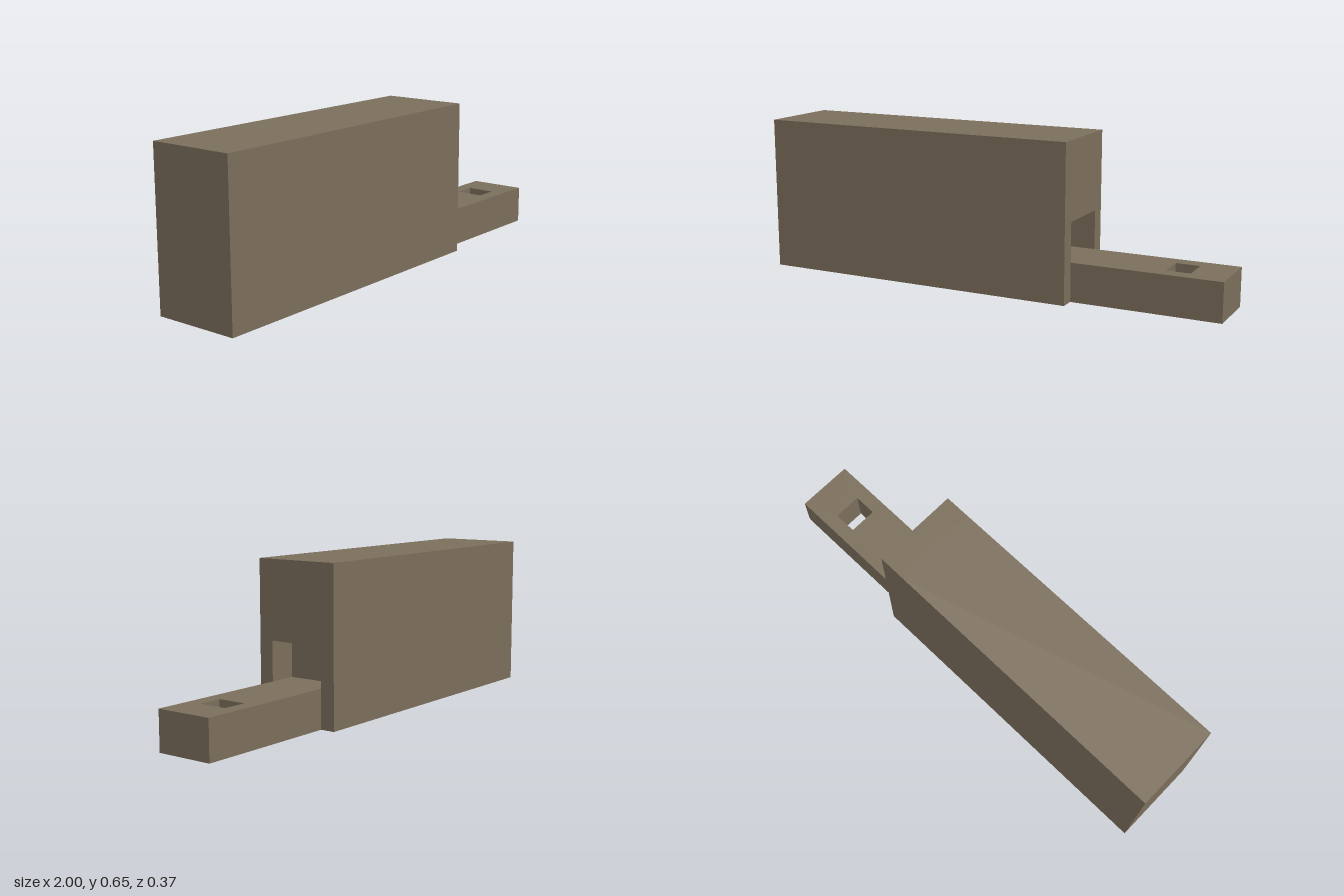
import * as THREE from 'three';

const BASE = 0.005;                 // underside height
const TOP = 0.654;
const HALF_DEPTH = 0.184;           // half width of the main block
const TONGUE_HALF = 0.122;          // half width of tongue and recess
const BACK_X = -1, RECESS_X = 0.26, MOUTH_X = 0.38, TIP_X = 0.997;

// Closed shape from a short list of corners
function polygon(points) {
  return new THREE.Shape(points.map(([a, b]) => new THREE.Vector2(a, b)));
}

export function createModel() {
  const model = new THREE.Group();
  const brown = new THREE.MeshStandardMaterial({ color: 0x7b6e5b });
  brown.name = 'brown';

  function add(name, geometry) {
    const mesh = new THREE.Mesh(geometry, brown);
    mesh.name = name;
    model.add(mesh);
  }

  // Solid part of the main block
  const block = new THREE.BoxGeometry(RECESS_X - BACK_X, TOP - BASE, HALF_DEPTH * 2);
  block.translate((BACK_X + RECESS_X) / 2, (TOP + BASE) / 2, 0);
  add('mainBlock', block);

  // End of the block, notched to form the recess above the tongue
  const collar = new THREE.ExtrudeGeometry(polygon([
    [-HALF_DEPTH, BASE], [-TONGUE_HALF, BASE], [-TONGUE_HALF, 0.33],
    [TONGUE_HALF, 0.33], [TONGUE_HALF, BASE], [HALF_DEPTH, BASE],
    [HALF_DEPTH, TOP], [-HALF_DEPTH, TOP],
  ]), { depth: MOUTH_X - RECESS_X, bevelEnabled: false });
  collar.rotateY(Math.PI / 2).translate(RECESS_X, 0, 0);
  add('recessCollar', collar);

  // Tongue with a rectangular through hole
  const plan = polygon([
    [RECESS_X, -TONGUE_HALF], [TIP_X, -TONGUE_HALF],
    [TIP_X, TONGUE_HALF], [RECESS_X, TONGUE_HALF],
  ]);
  plan.holes.push(polygon([[0.75, -0.061], [0.75, 0.061], [0.85, 0.061], [0.85, -0.061]]));
  const tongue = new THREE.ExtrudeGeometry(plan, { depth: 0.166 - BASE, bevelEnabled: false });
  tongue.rotateX(-Math.PI / 2).translate(0, BASE, 0);
  add('tongue', tongue);

  return model;
}
